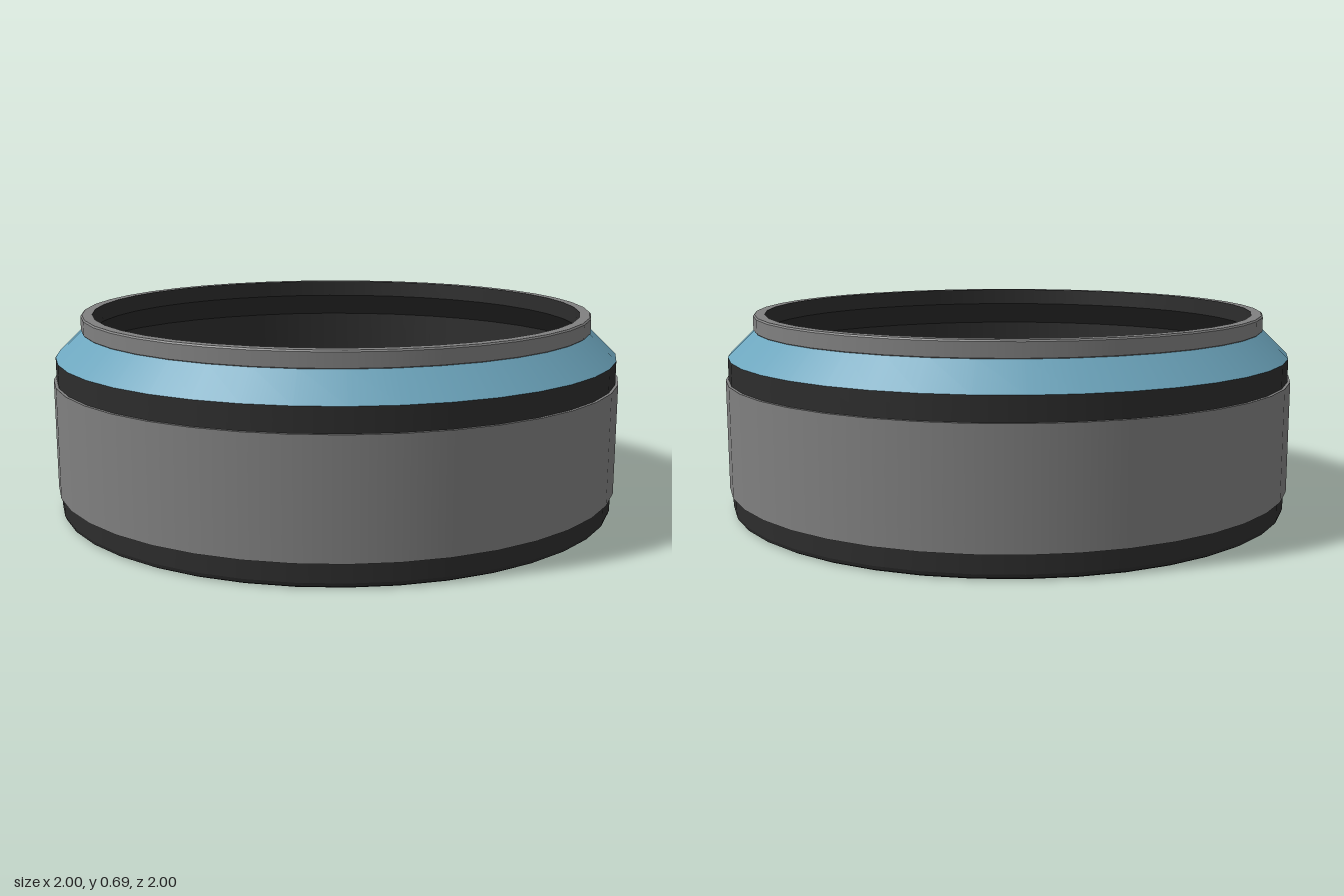
import * as THREE from 'three';
import { mergeGeometries } from 'three/addons/utils/BufferGeometryUtils.js';

const SIDES = 40;

// Revolve each profile segment separately: smooth around, crisp between segments.
// Profiles run up the outside, inward over the top, then down the inside.
function ring(name, material, profile) {
  const parts = [];
  for (let i = 0; i < profile.length - 1; i++) {
    const pts = [profile[i], profile[i + 1]].map(([r, y]) => new THREE.Vector2(r, y));
    parts.push(new THREE.LatheGeometry(pts, SIDES));
  }
  const mesh = new THREE.Mesh(mergeGeometries(parts), material);
  mesh.name = name;
  return mesh;
}

export function createModel() {
  const paint = (name, color) => {
    const m = new THREE.MeshStandardMaterial({ color });
    m.name = name;
    return m;
  };
  const grey = paint('metal grey', 0x808080);
  const black = paint('black', 0x2d2d2d);
  const blue = paint('blue', 0x6da6be);

  const group = new THREE.Group();
  group.name = 'roundContainer';
  group.add(
    // base with a small bevel at the foot
    ring('base', black, [[0, 0], [0.975, 0], [0.986, 0.006], [0.99, 0.018], [0.99, 0.08]]),
    // wide outer band, slightly proud of the base
    ring('outerBand', grey, [[0.988, 0.08], [1, 0.08], [1, 0.465], [0.988, 0.465]]),
    ring('upperBand', black, [[0.99, 0.465], [0.99, 0.545]]),
    // sloping shoulder
    ring('shoulder', blue, [[0.99, 0.545], [0.895, 0.637]]),
    // rim around the opening
    ring('rim', grey, [[0.895, 0.632], [0.9, 0.637], [0.9, 0.685], [0.895, 0.69], [0.86, 0.69]]),
    // hollow inside: neck, inner slope, wall and floor
    ring('interior', black, [[0.86, 0.69], [0.86, 0.63], [0.95, 0.54], [0.95, 0.31], [0, 0.31]])
  );
  return group;
}
